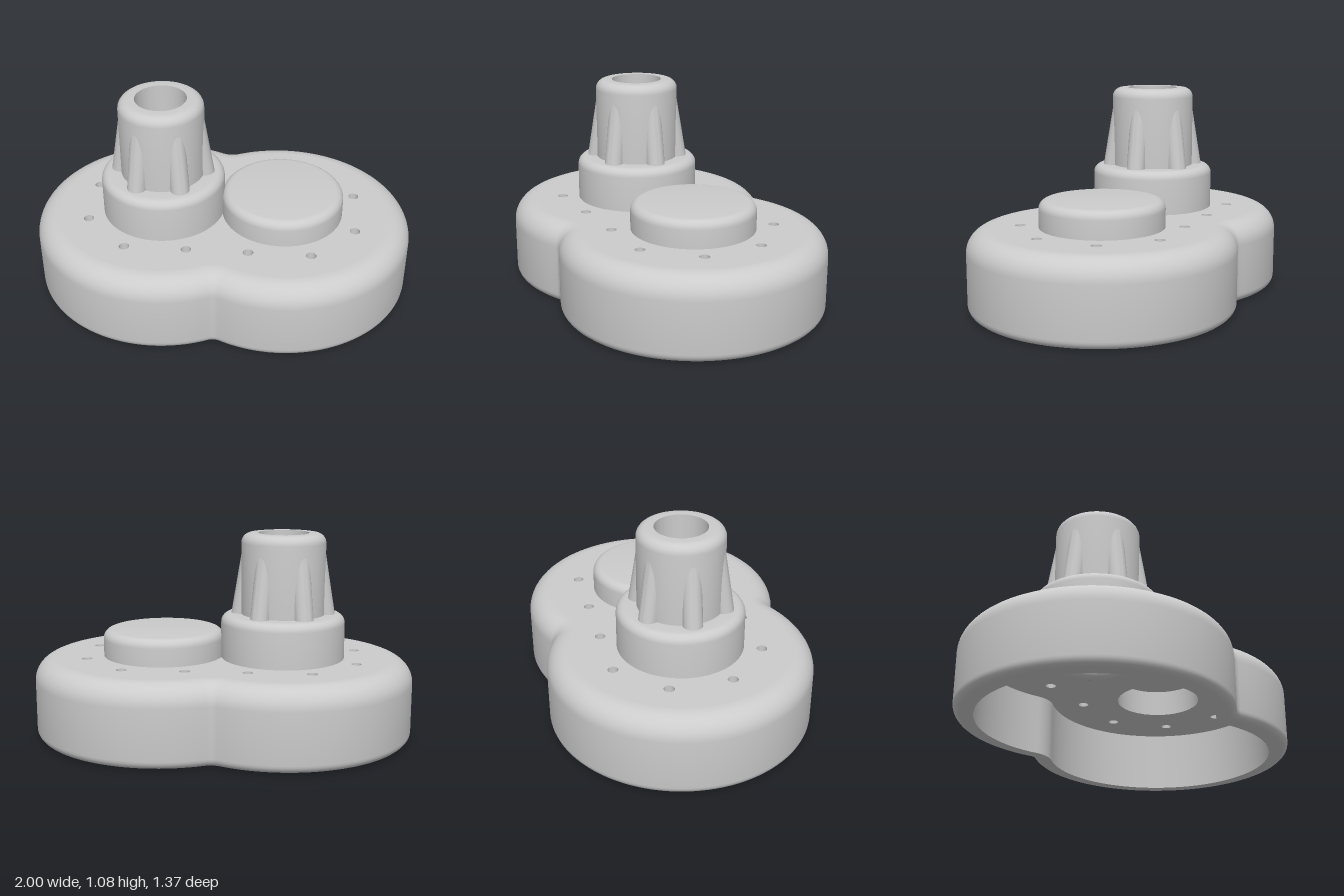
import * as THREE from 'three';
import { toCreasedNormals } from 'three/addons/utils/BufferGeometryUtils.js';

const CX = 0.317, R = 0.683;        // lobe centre offset and radius
const NOTCH = 0.06;                 // rounding of the waist between the lobes
const TOP = 0.42, CEILING = 0.32, WALL = 0.1;
const HOLE_R = 0.027;

const material = new THREE.MeshStandardMaterial({ color: 0xcccccc });

function part(name, geometry, x = 0, y = 0, z = 0) {
  const mesh = new THREE.Mesh(toCreasedNormals(geometry, 0.55), material);
  mesh.name = name;
  mesh.position.set(x, y, z);
  return mesh;
}

// Arc points for profiles and outlines
function arc(cx, cy, r, from, to, steps) {
  return Array.from({ length: steps + 1 }, (_, i) => {
    const a = from + (to - from) * i / steps;
    return new THREE.Vector2(cx + r * Math.cos(a), cy + r * Math.sin(a));
  });
}
const v = (x, y) => new THREE.Vector2(x, y);

// Two-lobed outline, moved inwards by an inset
function outline(inset) {
  const zc = Math.sqrt((R + NOTCH) ** 2 - CX ** 2);
  const t = Math.atan2(zc, -CX);
  const half = [
    ...arc(CX, 0, R - inset, -t, t, 72),
    ...arc(0, zc, NOTCH + inset, t - Math.PI, -t, 10).slice(1, -1),
  ];
  return [...half, ...half.map(p => v(-p.x, -p.y))];
}

// Wall swept around the outline; profile points are (inset, height)
function wallGeometry(profile) {
  const pos = [], idx = [];
  let n = 0;
  for (const p of profile) {
    const ring = outline(p.x);
    n = ring.length;
    ring.forEach(q => pos.push(q.x, p.y, -q.y));
  }
  for (let i = 0; i < profile.length - 1; i++) {
    for (let j = 0; j < n; j++) {
      const a = i * n + j, b = i * n + (j + 1) % n;
      idx.push(a, b, a + n, b, b + n, a + n);
    }
  }
  const g = new THREE.BufferGeometry();
  g.setAttribute('position', new THREE.Float32BufferAttribute(pos, 3));
  g.setIndex(idx);
  g.computeVertexNormals();
  return g;
}

// Screw holes: ring of eight around each lobe, without the two at the waist
function screwPositions() {
  const list = [];
  for (const side of [-1, 1]) {
    for (let k = 0; k < 8; k++) {
      const a = Math.PI / 8 + k * Math.PI / 4;
      if (Math.cos(a) < -0.8) continue;
      list.push(v(side * (CX + 0.416 * Math.cos(a)), 0.416 * Math.sin(a)));
    }
  }
  return list;
}

// Flat plate with screw holes and one opening per lobe
function plateGeometry(inset, leftHole, rightHole) {
  const shape = new THREE.Shape(outline(inset));
  const cut = (x, y, r) => {
    const n = r > 0.1 ? 64 : 20;
    shape.holes.push(new THREE.Path(arc(x, y, r, 0, -2 * Math.PI, n).slice(0, -1)));
  };
  cut(CX, 0, leftHole);
  cut(-CX, 0, rightHole);
  screwPositions().forEach(p => cut(p.x, p.y, HOLE_R));
  return new THREE.ShapeGeometry(shape);
}

export function createModel() {
  const model = new THREE.Group();
  model.name = 'twinLobeHousing';
  const Q = Math.PI / 2;

  // Hollow housing: inner wall, rim, rounded outer wall
  const housing = new THREE.Group();
  housing.name = 'housing';
  const edge = 0.115, foot = 0.045;
  housing.add(part('housingWall', wallGeometry([
    v(WALL, CEILING), v(WALL, 0),
    ...arc(foot, foot, foot, -Q, -2 * Q, 6),
    ...arc(edge, TOP - edge, edge, 2 * Q, Q, 10),
  ])));
  housing.add(part('topPlate', plateGeometry(edge, 0.3, 0.3).rotateX(-Q), 0, TOP));
  housing.add(part('ceiling', plateGeometry(WALL, 0.22, 0.265).rotateX(Q), 0, CEILING));
  for (const p of screwPositions()) {
    const bore = new THREE.LatheGeometry([v(HOLE_R, TOP), v(HOLE_R, CEILING)], 20);
    housing.add(part('screwHole', bore, p.x, 0, p.y));
  }
  model.add(housing);

  // Low round cap, hollow below
  model.add(part('cap', new THREE.LatheGeometry([
    v(0.32, TOP - 0.02),
    ...arc(0.275, 0.515, 0.045, 0, Q, 6),
    v(0, 0.56), v(0, 0.46), v(0.22, 0.46), v(0.22, CEILING),
  ], 80), CX));

  // Stepped tower with a through bore and a flared recess below
  const tower = new THREE.Group();
  tower.name = 'tower';
  tower.position.x = -CX;
  tower.add(part('towerBody', new THREE.LatheGeometry([
    v(0.325, TOP - 0.02),
    ...arc(0.28, 0.607, 0.045, 0, Q, 6),
    v(0.22, 0.652),
    ...arc(0.17, 1.025, 0.05, 0, Q, 6),
    v(0.133, 1.075), v(0.133, 0.55), v(0.215, 0.55),
    ...arc(0.265, CEILING + 0.05, 0.05, 2 * Q, 3 * Q, 6),
  ], 80)));

  // Six leaning ribs that fade into the shaft
  for (let k = 0; k < 6; k++) {
    const holder = new THREE.Group();
    holder.name = 'rib';
    holder.rotation.y = k * Math.PI / 3;
    const span = Math.PI * 1.3;
    const g = new THREE.CylinderGeometry(0.05, 0.05, 0.36, 28, 1, true, Q - span / 2, span);
    // Lean the rib by shearing it towards the shaft
    const p = g.attributes.position;
    for (let i = 0; i < p.count; i++) {
      p.setX(i, p.getX(i) + 0.222 - (p.getY(i) + 0.16) * 0.165);
    }
    holder.add(part('ribSurface', g, 0, 0.81, 0));
    tower.add(holder);
  }
  model.add(tower);

  return model;
}
